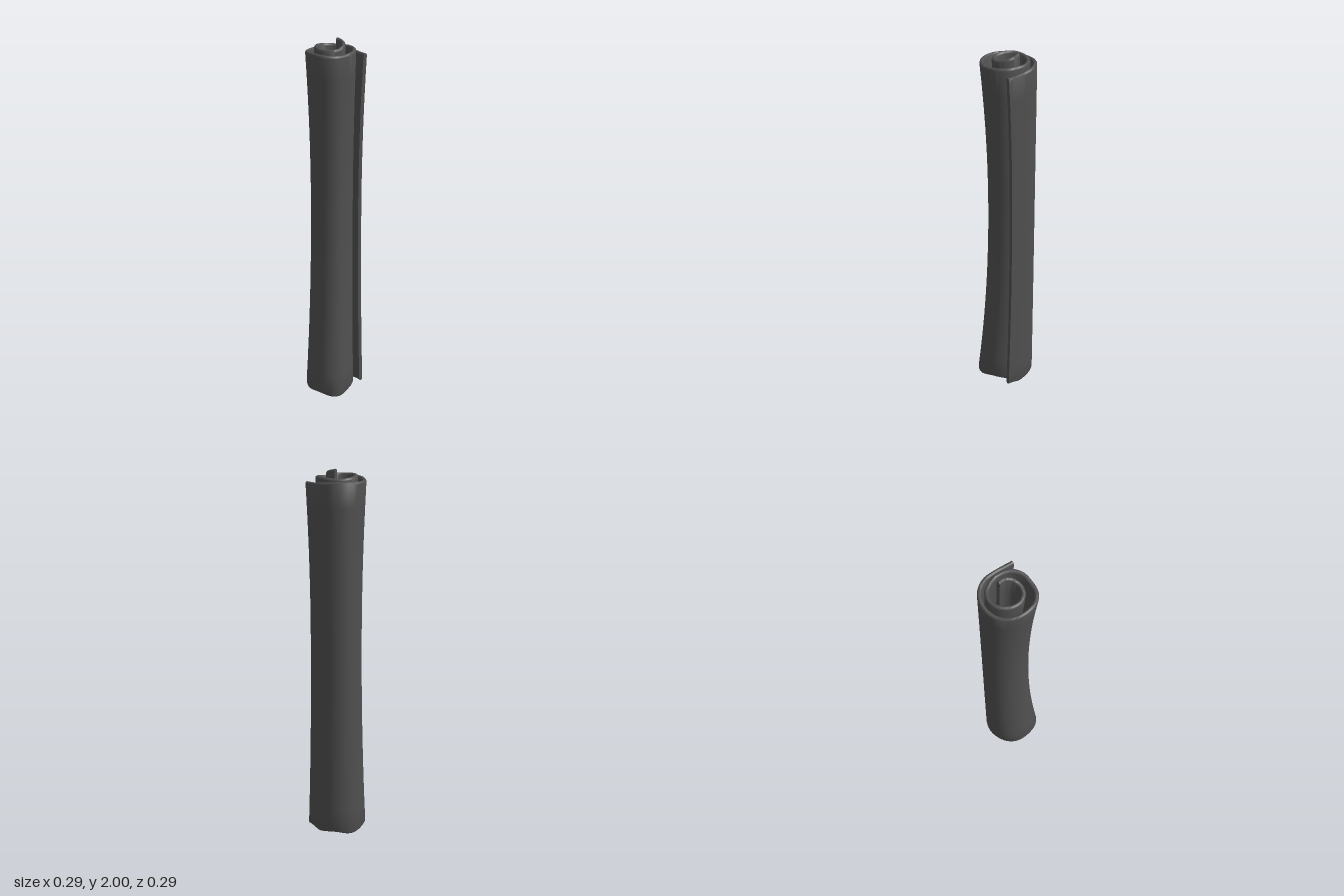
import * as THREE from 'three';
import { toCreasedNormals } from 'three/addons/utils/BufferGeometryUtils.js';

// Centre line of the rolled sheet at its top, from the inner tip to the loose outer flap (x, z)
const SPIRAL = [
  [-0.03, -0.06], [0, -0.063], [0.035, -0.045], [0.052, 0], [0.038, 0.04], [0, 0.063], [-0.05, 0.057],
  [-0.09, 0.025], [-0.106, -0.025], [-0.085, -0.075], [-0.04, -0.102], [0, -0.108], [0.06, -0.093],
  [0.097, -0.05], [0.105, 0], [0.097, 0.06], [0.06, 0.1], [0, 0.115], [-0.06, 0.105], [-0.11, 0.07],
  [-0.136, 0.015], [-0.136, -0.045], [-0.112, -0.095], [-0.06, -0.131], [0, -0.137], [0.05, -0.135], [0.106, -0.129],
];
const HALF = 0.0105; // half the sheet thickness
const RIM = 0.012; // height of the rounded edges
const ANCHOR = -0.137; // the back left side stays straight
const lerp = THREE.MathUtils.lerp;

// Closed section of the sheet: [offset across, height fraction, rim shift]
function sheetSection() {
  const section = [];
  const levels = 16;
  for (let i = 0; i <= levels; i++) section.push([1, i / levels, 0]);
  for (let i = 1; i < 6; i++) {
    const a = (i / 6) * Math.PI;
    section.push([Math.cos(a), 1, Math.sin(a)]);
  }
  for (let i = levels; i >= 0; i--) section.push([-1, i / levels, 0]);
  for (let i = 1; i < 4; i++) {
    const a = (i / 4) * Math.PI;
    section.push([-Math.cos(a), 0, -Math.sin(a)]);
  }
  return section;
}

// Narrow the roll at the waist and flare the front right side at the foot
function shapeRoll(x, z, y) {
  const front = THREE.MathUtils.smoothstep(z, -0.14, 0.04);
  const k = y > 1.15 ? (y - 1.15) / 0.8 : (1.15 - y) / 1.15;
  const endX = y > 1.15 ? 1 : lerp(0.99, 1.12, front);
  const endZ = y > 1.15 ? 1 : 1.08;
  const sx = lerp(0.86, endX, Math.min(1, k * k));
  const sz = lerp(0.85, endZ, Math.min(1, k * k));
  const inset = 0.007 * Math.max(0, 1 - k * k);
  return [ANCHOR + inset + (x - ANCHOR) * sx, ANCHOR + inset * 0.5 + (z - ANCHOR) * sz];
}

function rolledSheet() {
  const curve = new THREE.CatmullRomCurve3(SPIRAL.map(([x, z]) => new THREE.Vector3(x, 0, z)));
  const section = sheetSection();
  const steps = 104;
  const n = section.length;
  const positions = [];
  const indices = [];

  // The first and last columns fold onto the centre line and close the sheet's ends
  for (let i = -1; i <= steps + 1; i++) {
    const t = THREE.MathUtils.clamp(i / steps, 0, 1);
    const half = i < 0 || i > steps ? 0 : HALF;
    const p = curve.getPoint(t);
    const d = curve.getTangent(t);
    // Inner turns stand higher, with a small raised tip and a wavy foot
    const top = 1.975 - 0.04 * t + 0.025 * Math.max(0, 1 - t * 9) - RIM + 0.004 * Math.sin(t * 31);
    const foot = 0.05 * Math.max(0, 1 - t * 1.7) + 0.011 + RIM + 0.008 * Math.sin(t * 52);
    for (const [across, h, rim] of section) {
      const y = lerp(foot, top, h);
      const [x, z] = shapeRoll(p.x, p.z, y);
      positions.push(x + d.z * across * half, y + rim * RIM, z - d.x * across * half);
    }
  }
  for (let i = 0; i < steps + 2; i++) {
    for (let j = 0; j < n; j++) {
      const a = i * n + j;
      const b = i * n + ((j + 1) % n);
      indices.push(a, b, a + n, a + n, b, b + n);
    }
  }
  const geometry = new THREE.BufferGeometry();
  geometry.setAttribute('position', new THREE.Float32BufferAttribute(positions, 3));
  geometry.setIndex(indices);
  return toCreasedNormals(geometry, 0.8);
}

export function createModel() {
  const group = new THREE.Group();
  group.name = 'scroll';
  const sheet = new THREE.Mesh(
    rolledSheet(),
    new THREE.MeshStandardMaterial({ color: 0x505050, side: THREE.DoubleSide }),
  );
  sheet.name = 'rolledSheet';

  // Stand the roll on the ground
  sheet.geometry.computeBoundingBox();
  sheet.position.y = -sheet.geometry.boundingBox.min.y;
  group.add(sheet);
  return group;
}
